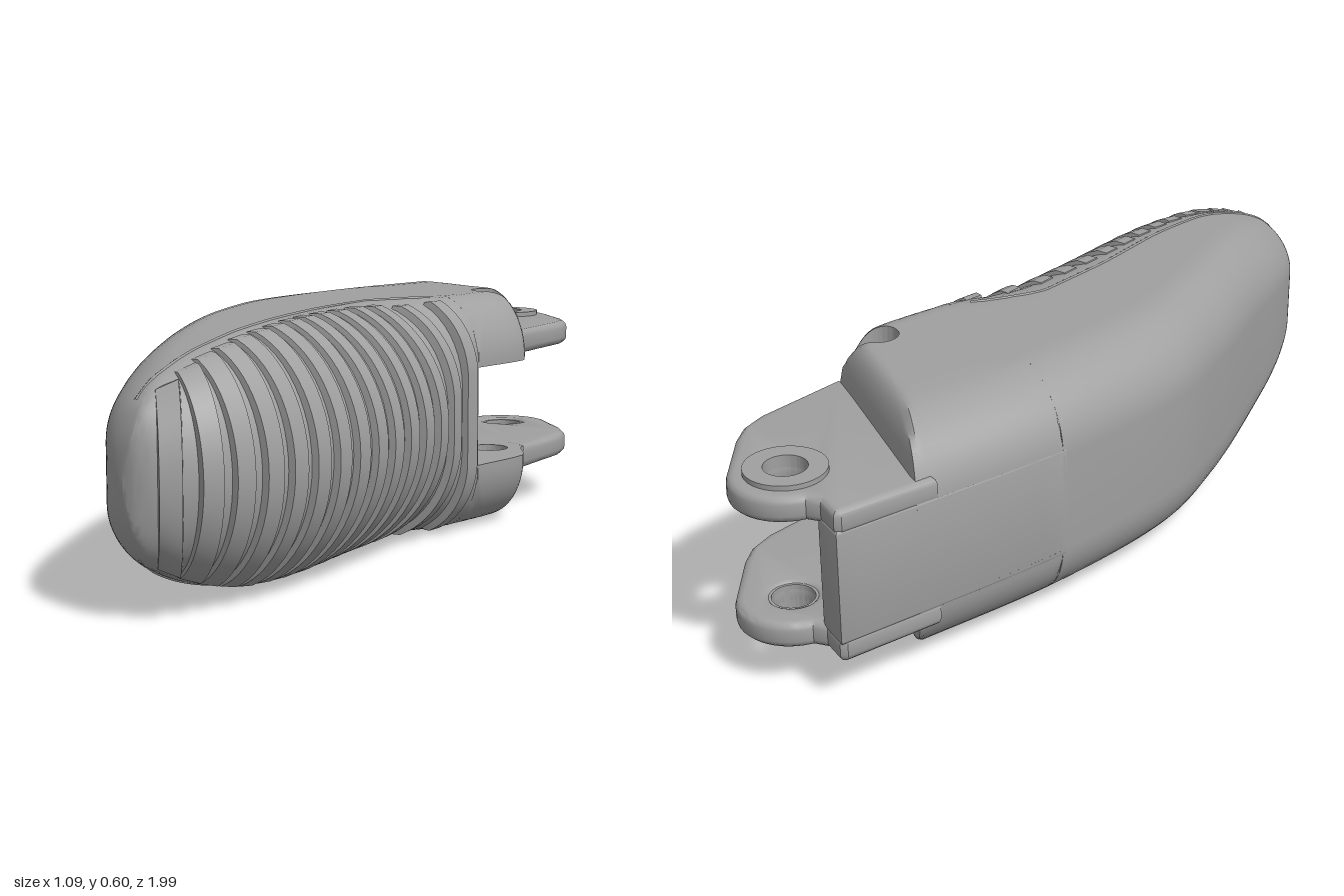
import * as THREE from 'three';
import { toCreasedNormals } from 'three/addons/utils/BufferGeometryUtils.js';

const MID = 0.305;      // height of the symmetry plane
const SLOT = 0.125;     // half height of the rear slot
const SLOT_Z = -0.25;   // where the slot begins
const PIN = [0.01, -0.48], PIVOT = [-0.32, -0.87], HOLE = 0.05;

// Monotone smooth curve through [z, value] pairs
function curve(p) {
  const slope = i => (p[i + 1][1] - p[i][1]) / (p[i + 1][0] - p[i][0]);
  const tangent = i => {
    if (i === 0) return slope(0);
    if (i === p.length - 1) return slope(i - 1);
    const a = slope(i - 1), b = slope(i);
    return a * b <= 0 ? 0 : 2 * a * b / (a + b);
  };
  return z => {
    z = Math.min(Math.max(z, p[0][0]), p[p.length - 1][0]);
    let i = 0;
    while (i < p.length - 2 && z > p[i + 1][0]) i++;
    const h = p[i + 1][0] - p[i][0], t = (z - p[i][0]) / h, u = 1 - t;
    return p[i][1] * (1 + 2 * t) * u * u + p[i + 1][1] * t * t * (3 - 2 * t)
      + h * (tangent(i) * t * u * u - tangent(i + 1) * t * t * u);
  };
}

// Outline in plan, half height, and width and start height of the rounded pad side
const left = curve([[-0.86, -0.55], [-0.6, -0.515], [-0.3, -0.47], [-0.05, -0.41], [0.17, -0.33],
  [0.38, -0.195], [0.63, 0], [0.87, 0.2], [0.96, 0.31], [0.985, 0.37], [0.99, 0.4]]);
const right = curve([[-0.7, 0.02], [-0.57, 0.05], [-0.45, 0.16], [-0.25, 0.2], [-0.17, 0.22], [-0.02, 0.285],
  [0.16, 0.36], [0.35, 0.435], [0.55, 0.495], [0.73, 0.525], [0.82, 0.525], [0.9, 0.505], [0.95, 0.475], [0.98, 0.44], [0.99, 0.41]]);
const half = curve([[-0.7, 0.298], [0.1, 0.298], [0.4, 0.295], [0.6, 0.283], [0.7, 0.268], [0.8, 0.243],
  [0.9, 0.2], [0.95, 0.16], [0.97, 0.125], [0.985, 0.075], [0.99, 0.01]]);
const padWidth = curve([[-0.6, 0.13], [-0.25, 0.13], [-0.1, 0.2], [0, 0.25], [0.22, 0.26], [0.45, 0.235],
  [0.65, 0.2], [0.85, 0.15], [0.95, 0.08], [0.99, 0.01]]);
const padBase = curve([[-0.6, 0.14], [-0.25, 0.13], [-0.15, 0.06], [0, 0], [0.99, 0]]);

const round = (d, r, power = 2) =>
  Math.sqrt(Math.max(0, 1 - Math.pow(1 - Math.min(Math.max(d / r, 0), 1), power)));

// Half height of the shell at a point in plan
function height(x, z) {
  const H = half(z), w = right(z) - left(z);
  let rl = 0.19, rr = padWidth(z);
  const k = Math.min(1, w / (rl + rr));
  rl *= k; rr *= k;
  const a = 0.12 * H / 0.298, b = Math.min(padBase(z), H);
  return Math.min(a + (H - a) * round(x - left(z), rl),
    b + (H - b) * round(right(z) - x, rr, 1.8));
}

// Closed solid from rows of points; each row is a closed loop
function loft(rows, closed, crease) {
  const n = rows[0].length, m = rows.length, index = [];
  for (let i = 0; i < (closed ? m : m - 1); i++) {
    for (let j = 0; j < n; j++) {
      const a = i * n + j, b = i * n + (j + 1) % n;
      const c = ((i + 1) % m) * n + j, d = ((i + 1) % m) * n + (j + 1) % n;
      index.push(a, b, d, a, d, c);
    }
  }
  const v = rows.flat();
  let volume = 0;
  for (let i = 0; i < index.length; i += 3) {
    const [a, b, c] = [v[index[i]], v[index[i + 1]], v[index[i + 2]]];
    volume += a.dot(b.clone().cross(c));
  }
  if (volume < 0) index.reverse();
  const g = new THREE.BufferGeometry().setFromPoints(v);
  g.setIndex(index);
  return toCreasedNormals(g, crease);
}

// Closes a row of loops at both ends
function capped(rows) {
  const cap = row => {
    const c = row.reduce((s, p) => s.add(p), new THREE.Vector3()).divideScalar(row.length);
    return row.map(() => c.clone());
  };
  return [cap(rows[0]), ...rows, cap(rows[rows.length - 1])];
}

// Flat plate drawn in plan (x, z) between two heights
function plate(points, y0, y1, bevel, hole) {
  const shape = new THREE.Shape(points.map(p => new THREE.Vector2(...p)));
  if (hole) shape.holes.push(new THREE.Path().absarc(...hole, 0, Math.PI * 2, true));
  const g = new THREE.ExtrudeGeometry(shape, { depth: y1 - y0 - 2 * bevel, bevelEnabled: bevel > 0,
    bevelThickness: bevel, bevelSize: bevel, bevelOffset: -bevel, bevelSegments: 3, curveSegments: 32 });
  g.rotateX(Math.PI / 2).translate(0, y1 - bevel, 0);
  return toCreasedNormals(g, 0.6);
}

// Solid front of the shell
function shellGeometry() {
  const rows = [], N = 32;
  for (let i = 0; i <= 60; i++) {
    const z = SLOT_Z + (0.99 - SLOT_Z) * Math.sin(i / 60 * Math.PI / 2);
    const row = [];
    for (const s of [1, -1]) {
      for (let j = 0; j <= N; j++) {
        const u = (1 - Math.cos(Math.PI * j / N)) / 2, t = s > 0 ? u : 1 - u;
        const x = left(z) + (right(z) - left(z)) * t;
        row.push(new THREE.Vector3(x, MID + s * height(x, z), z));
      }
    }
    rows.push(row);
  }
  return loft(capped(rows), false, 0.7);
}

// Rear cheek: rings run from the pin hole out to the edge
function cheekGeometry(sign) {
  const rear = x => -0.58 + 0.15 * x, edge = [];
  for (let i = 0; i < 24; i++) { const z = -0.655 + 0.405 * i / 24; edge.push([left(z), z]); }
  for (let i = 0; i < 30; i++) edge.push([left(SLOT_Z) + (0.2 - left(SLOT_Z)) * i / 30, SLOT_Z]);
  for (let i = 0; i < 24; i++) { const z = SLOT_Z - 0.322 * i / 24; edge.push([right(z), z]); }
  for (let i = 0; i < 30; i++) { const x = 0.05 - 0.57 * i / 30; edge.push([x, rear(x)]); }
  const rings = [0, 0.12, 0.25, 0.4, 0.55, 0.65, 0.73, 0.8, 0.85, 0.89, 0.925, 0.95, 0.97, 0.985, 0.995, 1];
  const rows = edge.map(([x, z]) => {
    const a = Math.atan2(z - PIN[1], x - PIN[0]);
    const hx = PIN[0] + HOLE * Math.cos(a), hz = PIN[1] + HOLE * Math.sin(a);
    const row = rings.map(t => {
      const px = hx + (x - hx) * t, pz = hz + (z - hz) * t;
      const back = 0.14 + 0.158 * round(pz - rear(px), 0.06);
      const y = Math.max(SLOT, Math.min(height(px, pz), back));
      return new THREE.Vector3(px, MID + sign * y, pz);
    });
    row.push(new THREE.Vector3(x, MID + sign * SLOT, z), new THREE.Vector3(hx, MID + sign * SLOT, hz));
    return row;
  });
  return loft(rows, true, 0.7);
}

// Raised grip rib wrapped across the pad
function ribGeometry(z0) {
  const slope = (right(z0 + 0.02) - right(z0 - 0.02)) / 0.04;
  const n = new THREE.Vector2(1, -slope).normalize(), t = new THREE.Vector2(-n.y, n.x);
  const reach = 0.8 * padWidth(z0), phi = 1.4, rows = [], M = 28;
  for (let i = 0; i <= M; i++) {
    const a = phi * (2 * i / M - 1);
    const d = reach * (1 - Math.cos(a)) / (1 - Math.cos(phi));
    const x = right(z0) - n.x * d, z = z0 - n.y * d;
    const y = i * 2 === M ? 0 : Math.sign(a) * height(x, z);
    rows.push([[-0.028, -0.02], [-0.024, 0.017], [0.024, 0.017], [0.028, -0.02]].map(([w, o]) => {
      const pz = z + w * t.y;
      const lift = Math.abs(i * 2 - M) === M ? Math.min(o, 0.004) : o;
      return new THREE.Vector3(x + w * t.x + n.x * Math.cos(a) * lift,
        MID + y * half(pz) / half(z) + Math.sin(a) * lift * 0.6, pz + n.y * Math.cos(a) * lift);
    }));
  }
  return loft(capped(rows), false, 0.6);
}

export function createModel() {
  const model = new THREE.Group();
  const gray = new THREE.MeshStandardMaterial({ color: 0xa0a0a0 });
  gray.name = 'matte gray';
  const add = (name, geometry) => {
    const mesh = new THREE.Mesh(geometry, gray);
    mesh.name = name;
    model.add(mesh);
  };

  add('shell', shellGeometry());

  // Grip ribs
  for (let i = 0; i < 15; i++) add('gripRib', ribGeometry(-0.2 + i * 0.0805));

  // Back wall of the slot
  const wall = [];
  for (let i = 0; i <= 10; i++) { const z = -0.86 + 0.62 * i / 10; wall.push([left(z), z]); }
  wall.push([left(-0.24) + 0.09, -0.24], [-0.46, -0.86]);
  add('backWall', plate(wall, MID - 0.14, MID + 0.14, 0.008));

  // Hinge lug outline
  const lug = [[-0.5, -0.6], [-0.515, -0.6], [-0.548, -0.845], [-0.54, -0.86], [-0.475, -0.86], [-0.458, -0.875]];
  for (let i = 0; i <= 14; i++) {
    const a = Math.PI * (1.03 + 0.62 * i / 14);
    lug.push([PIVOT[0] + 0.13 * Math.cos(a), PIVOT[1] + 0.13 * Math.sin(a)]);
  }
  lug.push([-0.12, -0.905], [-0.07, -0.865], [-0.035, -0.81], [-0.01, -0.74], [0.05, -0.565]);
  const ring = Array.from({ length: 40 }, (_, i) => {
    const a = i / 40 * Math.PI * 2;
    return [PIVOT[0] + 0.095 * Math.cos(a), PIVOT[1] + 0.095 * Math.sin(a)];
  });

  // Upper and lower halves
  for (const s of [1, -1]) {
    const side = s > 0 ? 'upper' : 'lower';
    const band = (a, b) => s > 0 ? [MID + a, MID + b] : [MID - b, MID - a];
    add(side + 'Cheek', cheekGeometry(s));
    add(side + 'HingeLug', plate(lug, ...band(SLOT, 0.188), 0.018, [...PIVOT, HOLE]));
    add(side + 'HingeBoss', plate(ring, ...band(0.13, 0.2), 0, [...PIVOT, HOLE]));
    // Seam between shell and pad
    const seam = [];
    for (let i = 0; i <= 24; i++) {
      const z = -0.2 + 1.14 * i / 24, x = right(z) - padWidth(z);
      seam.push(new THREE.Vector3(x, MID + s * (height(x, z) - 0.002), z));
    }
    add(side + 'PadSeam', new THREE.TubeGeometry(new THREE.CatmullRomCurve3(seam), 60, 0.005, 6));
  }
  return model;
}
